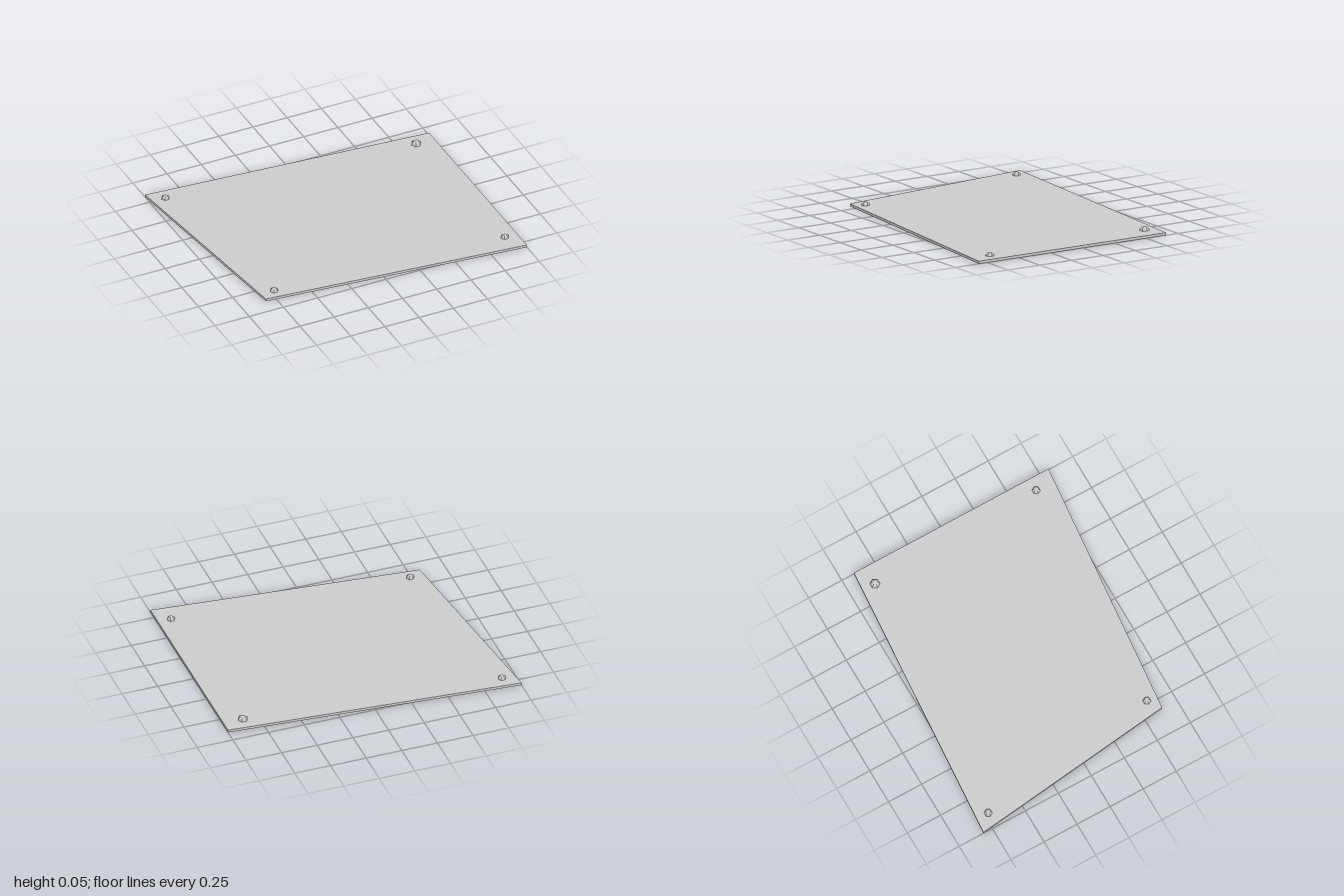
import * as THREE from 'three';

const THICKNESS = 0.018;

export function createModel() {
  const group = new THREE.Group();
  const material = new THREE.MeshStandardMaterial({ color: 0xcccccc, flatShading: true });

  // Skewed four-cornered plate, corners given as x, z
  const corners = [[-1, -0.817], [-0.823, 0.637], [1, 0.815], [1, -0.658]];
  const outline = new THREE.Shape(corners.map(([x, z]) => new THREE.Vector2(x, -z)));
  const plateGeometry = new THREE.ExtrudeGeometry(outline, { depth: THICKNESS, bevelEnabled: false });
  plateGeometry.rotateX(-Math.PI / 2);
  const plate = new THREE.Mesh(plateGeometry, material);
  plate.name = 'plate';
  group.add(plate);

  // Six-sided domed rivet with its corners towards +x and -x
  const profile = [[1, 0], [0.87, 0.42], [0.5, 0.73], [0, 0.84]].map(([r, y]) => new THREE.Vector2(r, y));
  const rivetGeometry = new THREE.LatheGeometry(profile, 6);
  rivetGeometry.rotateY(Math.PI / 6);

  // One rivet near each corner: x, z, radius
  const rivets = [
    [-0.897, -0.722, 0.028],
    [0.866, -0.575, 0.034],
    [0.909, 0.67, 0.028],
    [-0.732, 0.573, 0.028],
  ];
  rivets.forEach(([x, z, radius], i) => {
    const rivet = new THREE.Mesh(rivetGeometry, material);
    rivet.name = `rivet${i + 1}`;
    rivet.position.set(x, THICKNESS, z);
    rivet.scale.setScalar(radius);
    group.add(rivet);
  });

  return group;
}
